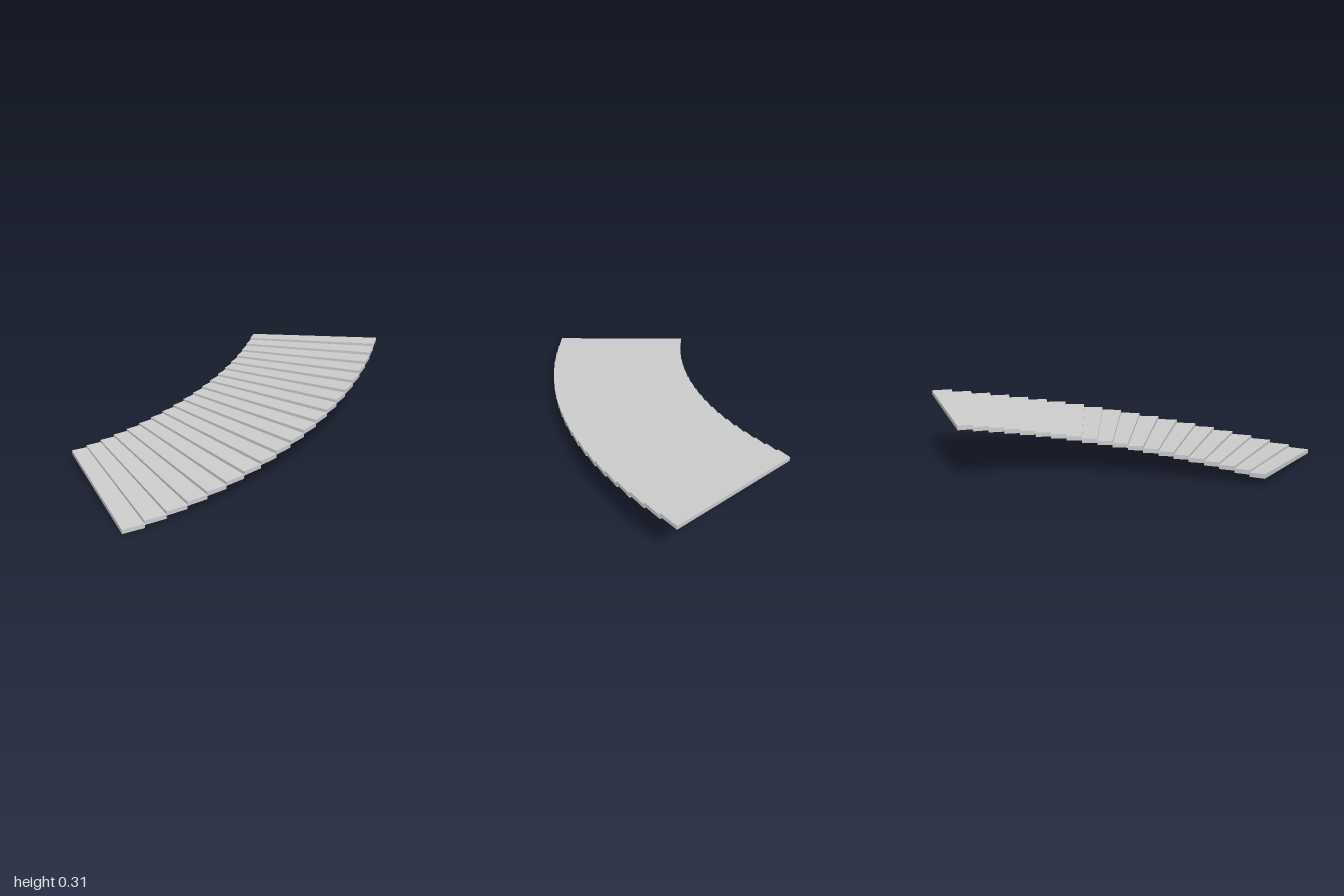
import * as THREE from 'three';

const STEPS = 20;
const INNER = 1.706, OUTER = 2.418;    // radii of the curved flight
const CENTER_X = -1.988;               // axis of the curve
const HALF_ANGLE = Math.asin(1 / OUTER);
const THICK = 0.021, HEIGHT = 0.313;

// Wedge-shaped slab between two angles; level across, inclined along its length
function stepGeometry(a0, a1, slope) {
  const geo = new THREE.BoxGeometry(1, THICK, 1);
  const p = geo.attributes.position;
  const mid = (a0 + a1) / 2;
  for (let i = 0; i < p.count; i++) {
    const r = p.getX(i) < 0 ? INNER : OUTER;
    const a = p.getZ(i) < 0 ? a0 : a1;
    const y = HEIGHT / 2 + p.getY(i) - slope * r * Math.sin(mid);
    p.setXYZ(i, CENTER_X + r * Math.cos(a), y, r * Math.sin(a));
  }
  geo.computeVertexNormals();
  return geo;
}

export function createModel() {
  const group = new THREE.Group();
  group.name = 'curvedSteps';
  const material = new THREE.MeshStandardMaterial({ color: 0xcccccc, flatShading: true });
  const da = (2 * HALF_ANGLE) / STEPS;
  // slope chosen so the lowest slab rests on the ground
  const slope = (HEIGHT - THICK) / 2 / (OUTER * Math.sin(HALF_ANGLE - da / 2));

  // Steps climb from the front (+z) to the back (-z)
  for (let i = 0; i < STEPS; i++) {
    const a1 = HALF_ANGLE - i * da;
    const step = new THREE.Mesh(stepGeometry(a1 - da, a1, slope), material);
    step.name = `step${i + 1}`;
    group.add(step);
  }
  return group;
}
